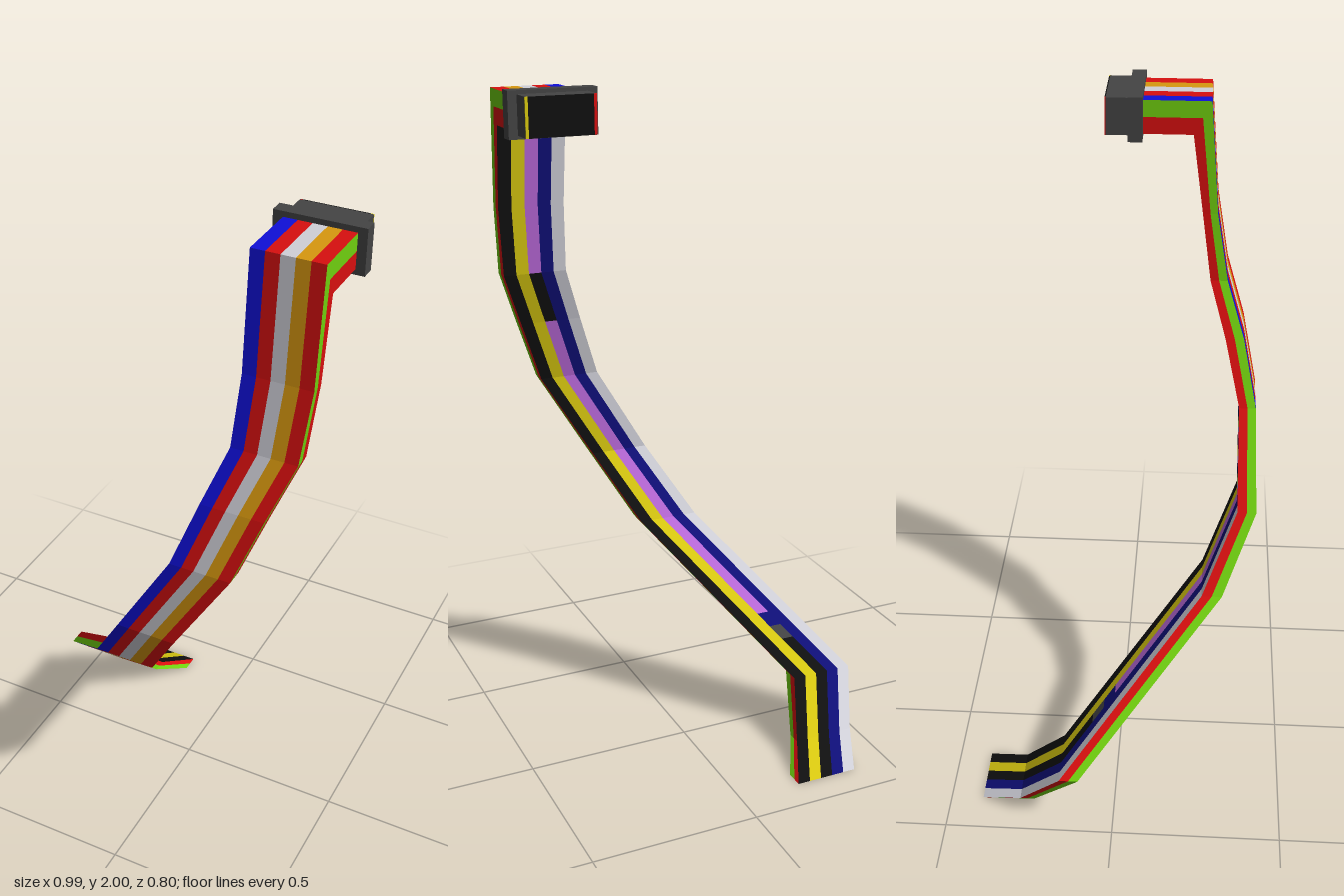
import * as THREE from 'three';

const paint = (name, hex) => {
  const m = new THREE.MeshStandardMaterial({ color: hex });
  m.name = name;
  return m;
};

export function createModel() {
  const group = new THREE.Group();
  const blue = paint('blue', 0x0f0fd8), red = paint('red', 0xd80f0f);
  const white = paint('white', 0xd0d0d8), orange = paint('orange', 0xd8980f);
  const green = paint('green', 0x70d00f), black = paint('black', 0x101010);
  const yellow = paint('yellow', 0xd8c810), purple = paint('purple', 0xb868d8);
  const navy = paint('navy', 0x0f0f78), gray = paint('dark gray', 0x444444);

  // Cable stations: [left x, right x, front y, front z, back y, back z]
  const upper = [
    [0.275, 0.47, 1.985, 0.04, 1.89, 0.04],
    [0.275, 0.47, 1.985, 0.228, 1.89, 0.18],
    [0.275, 0.467, 1.66, 0.255, 1.66, 0.212],
    [0.264, 0.45, 1.46, 0.29, 1.46, 0.24],
    [0.206, 0.388, 1.30, 0.344, 1.30, 0.29],
    [0.138, 0.317, 1.11, 0.386, 1.11, 0.337],
    [-0.02, 0.155, 0.845, 0.398, 0.845, 0.342],
    [-0.148, 0.035, 0.63, 0.305, 0.63, 0.245],
  ];
  const lower = [
    [-0.497, -0.305, 0.2, -0.1, 0.2, -0.155],
    [-0.435, -0.25, 0.06, -0.238, 0.06, -0.28],
    [-0.38, -0.19, 0, -0.35, 0, -0.403],
  ];
  // Extra stations on the long straight run, where one wire changes colour
  const between = [0.62, 0.7, 0.78].map(t =>
    upper[7].map((v, k) => v + (lower[0][k] - v) * t));
  const stations = [...upper, ...between, ...lower];
  const last = stations.length - 1;

  // Point on a station: u runs left to right, v runs front to back
  const point = (i, u, v) => {
    const [l, r, fy, fz, by, bz] = stations[i];
    return [l + (r - l) * u, fy + (by - fy) * v, fz + (bz - fz) * v];
  };

  // Flat shaded strip between two lines that run along the cable
  function addQuads(name, material, quads) {
    const pos = [];
    for (const [a0, a1, b1, b0] of quads) pos.push(...a0, ...a1, ...b1, ...a0, ...b1, ...b0);
    const g = new THREE.BufferGeometry();
    g.setAttribute('position', new THREE.Float32BufferAttribute(pos, 3));
    g.computeVertexNormals();
    const mesh = new THREE.Mesh(g, material);
    mesh.name = name;
    group.add(mesh);
  }
  function strip(name, material, [ua, va], [ub, vb], from = 0, to = last) {
    const quads = [];
    for (let i = from; i < to; i++) {
      quads.push([point(i, ua, va), point(i + 1, ua, va), point(i + 1, ub, vb), point(i, ub, vb)]);
    }
    addQuads(name, material, quads);
  }
  function endCap(name, material, u0, u1, v0, v1) {
    addQuads(name, material, [[point(last, u0, v0), point(last, u0, v1), point(last, u1, v1), point(last, u1, v0)]]);
  }

  // Five wires on the front, and five on the back (the middle one in pieces)
  const frontWires = [blue, red, white, orange, red];
  const backWires = [white, navy, null, yellow, black];
  for (let k = 0; k < 5; k++) {
    const u0 = k / 5, u1 = (k + 1) / 5;
    strip('frontWire' + (k + 1), frontWires[k], [u0, 0], [u1, 0]);
    endCap('frontWireEnd' + (k + 1), frontWires[k], u0, u1, 0, 0.5);
    if (backWires[k]) strip('backWire' + (k + 1), backWires[k], [u1, 1], [u0, 1]);
    endCap('backWireEnd' + (k + 1), backWires[k] || black, u0, u1, 0.5, 1);
  }
  const pieces = [[purple, 0, 3], [black, 3, 4], [purple, 4, 8], [navy, 8, 9], [gray, 9, 10], [black, 10, last]];
  pieces.forEach(([m, from, to], i) =>
    strip('middleBackWire' + (i + 1), m, [0.6, 1], [0.4, 1], from, to));

  // Cable edges: green front half, red back half
  strip('rightEdgeFront', green, [1, 0], [1, 0.5]);
  strip('rightEdgeBack', red, [1, 0.5], [1, 1]);
  strip('leftEdgeFront', green, [0, 0.5], [0, 0]);
  strip('leftEdgeBack', red, [0, 1], [0, 0.5]);

  // Connector: collar, plug and the coloured plate on its back
  function box(name, material, x0, x1, y0, y1, z0, z1) {
    const mesh = new THREE.Mesh(new THREE.BoxGeometry(x1 - x0, y1 - y0, z1 - z0), material);
    mesh.position.set((x0 + x1) / 2, (y0 + y1) / 2, (z0 + z1) / 2);
    mesh.name = name;
    group.add(mesh);
  }
  box('connectorCollar', gray, 0.248, 0.495, 1.875, 2, 0, 0.04);
  box('connectorPlug', gray, 0.275, 0.47, 1.885, 1.99, -0.062, 0);
  box('plugFace', black, 0.283, 0.462, 1.885, 1.99, -0.065, -0.062);
  box('plugRedEdge', red, 0.275, 0.283, 1.885, 1.99, -0.065, -0.062);
  box('plugYellowEdge', yellow, 0.462, 0.47, 1.885, 1.99, -0.065, -0.062);

  return group;
}
